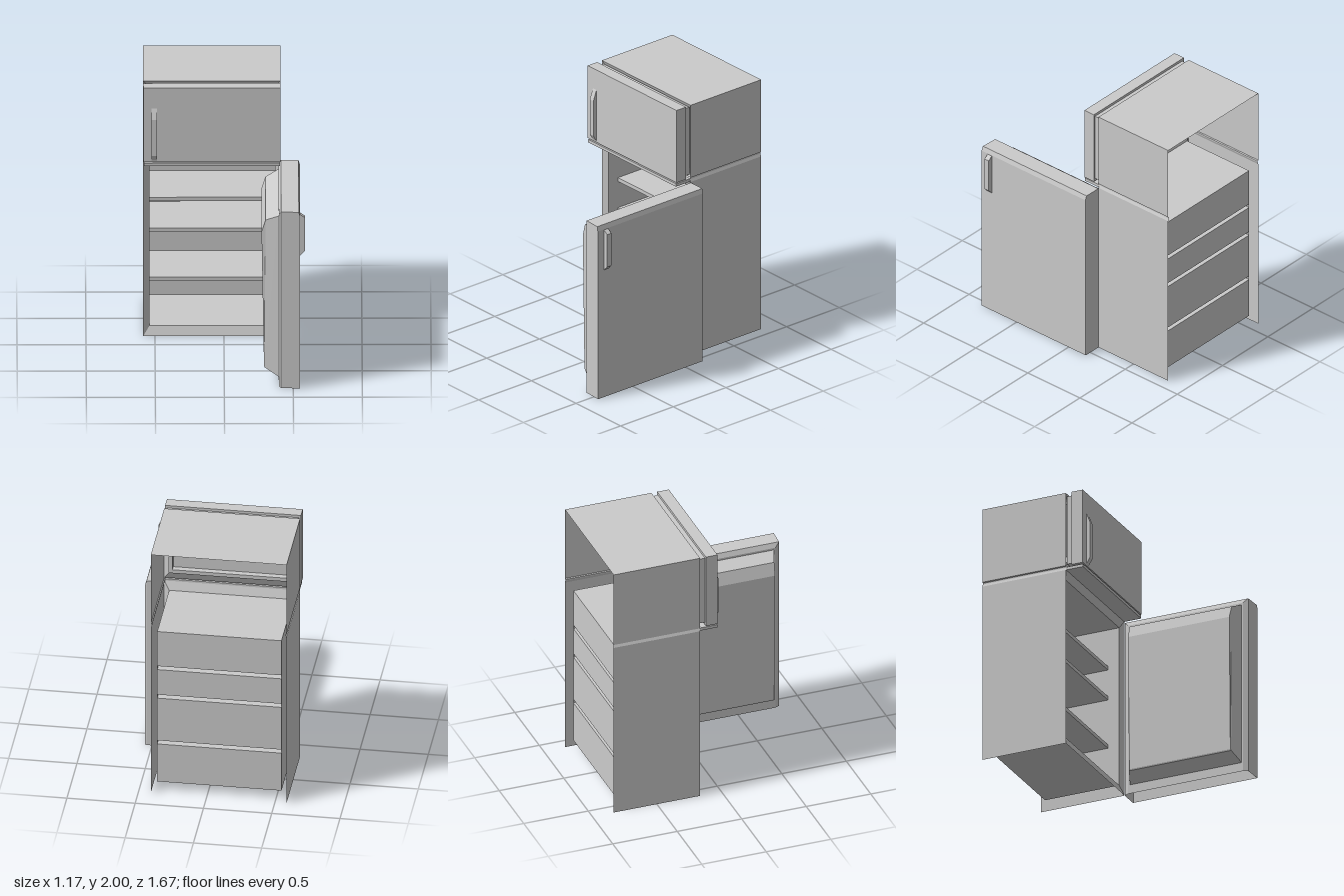
import * as THREE from 'three';

const material = new THREE.MeshStandardMaterial({ color: 0xcccccc, flatShading: true, side: THREE.DoubleSide });

// Overall body limits
const L = -0.585, R = 0.41, FRONT = -0.165, BACK = -0.835, TOP = 2, SEAM = 1.405;

// Joins consecutive rings of points with flat quads; caps apply to four-point rings
function loft(name, rings, { closed = true, skip = [], startCap = false, endCap = false } = {}) {
  const pos = [];
  const quad = (a, b, c, d) => pos.push(...a, ...b, ...c, ...a, ...c, ...d);
  for (let i = 0; i < rings.length - 1; i++) {
    const a = rings[i], b = rings[i + 1], n = a.length;
    for (let j = 0; j < (closed ? n : n - 1); j++) {
      if (skip.includes(j)) continue;
      const k = (j + 1) % n;
      quad(a[j], a[k], b[k], b[j]);
    }
  }
  if (startCap) quad(...[...rings[0]].reverse());
  if (endCap) quad(...rings[rings.length - 1]);
  const g = new THREE.BufferGeometry();
  g.setAttribute('position', new THREE.Float32BufferAttribute(pos, 3));
  g.computeVertexNormals();
  const mesh = new THREE.Mesh(g, material);
  mesh.name = name;
  return mesh;
}

function box(name, x0, x1, y0, y1, z0, z1) {
  const mesh = new THREE.Mesh(new THREE.BoxGeometry(x1 - x0, y1 - y0, z1 - z0), material);
  mesh.position.set((x0 + x1) / 2, (y0 + y1) / 2, (z0 + z1) / 2);
  mesh.name = name;
  return mesh;
}

// Rectangular rings facing z, y and x; the x ring may lean between its bottom and top
const ringZ = (z, x0, x1, y0, y1) => [[x0, y0, z], [x1, y0, z], [x1, y1, z], [x0, y1, z]];
const ringY = (y, x0, x1, z0, z1) => [[x0, y, z1], [x1, y, z1], [x1, y, z0], [x0, y, z0]];
const ringX = (x, y0, y1, z0, z1, xTop = x) => [[x, y0, z1], [x, y0, z0], [xTop, y1, z0], [xTop, y1, z1]];

// Handle with sloping ends: profile of [height, reach], extruded to its width
function handle(name, y0, y1, slopeLow, slopeHigh, reach, width) {
  const s = new THREE.Shape();
  s.moveTo(0, y0);
  s.lineTo(reach, y0 + slopeLow);
  s.lineTo(reach, y1 - slopeHigh);
  s.lineTo(0, y1);
  s.closePath();
  const g = new THREE.ExtrudeGeometry(s, { depth: width, bevelEnabled: false });
  g.translate(0, 0, -width / 2);
  const mesh = new THREE.Mesh(g, material);
  mesh.name = name;
  return mesh;
}

function createCabinet() {
  const g = new THREE.Group();
  g.name = 'cabinet';

  // Side walls with a shallow groove at the seam, open at back and bottom
  const profile = [[0, 0], [1.385, 0], [SEAM, 0.008], [1.415, 0.008], [1.42, 0], [TOP, 0]];
  g.add(loft('sideWalls', profile.map(([y, inset]) => ringY(y, L + inset, R - inset, BACK, FRONT)), { skip: [0, 2] }));
  g.add(loft('topPanel', [
    [[L, TOP, FRONT], [R, TOP, FRONT]],
    [[L, TOP, BACK], [R, TOP, BACK]],
  ], { closed: false }));

  // Fridge compartment: bevelled rim and straight walls
  const x0 = -0.54, x1 = 0.37, y0 = 0.07, y1 = 1.33, back = -0.785;
  g.add(loft('fridgeLiner', [
    ringZ(FRONT, L, R, 0, 1.395),
    ringZ(FRONT - 0.025, x0, x1, y0, y1),
    ringZ(back, x0, x1, y0, y1),
  ]));
  // Toe strip behind the bevelled rim
  g.add(loft('toeStrip', [
    [[L, 0, FRONT], [R, 0, FRONT]],
    [[L, y0, FRONT - 0.025], [R, y0, FRONT - 0.025]],
  ], { closed: false }));

  // Rear wall folded forward into shelves, hollow from behind
  const fold = [[y0, back]];
  for (const y of [0.385, 0.77, 1.01]) {
    fold.push([y, back], [y, -0.28], [y + 0.03, -0.28], [y + 0.03, back]);
  }
  fold.push([y1, back]);
  g.add(loft('rearWallAndShelves', [x0, x1].map(x => fold.map(([y, z]) => [x, y, z])), { closed: false }));

  // Freezer opening and the ledge that divides the compartments
  g.add(loft('freezerRim', [
    ringZ(FRONT, L, R, 1.42, TOP),
    ringZ(FRONT - 0.025, x0, x1, 1.48, 1.94),
  ]));
  g.add(box('dividerLedge', L + 0.005, R - 0.005, 1.387, 1.41, FRONT, -0.03));
  return g;
}

function createFreezerDoor() {
  const g = new THREE.Group();
  g.name = 'freezerDoor';
  g.add(box('freezerDoorPanel', L, R, 1.42, TOP, -0.12, -0.03));

  // Seal as an open frame between door and cabinet
  g.add(loft('freezerSeal', [
    ringZ(-0.12, L + 0.02, R - 0.015, 1.44, 1.98),
    ringZ(FRONT, L + 0.02, R - 0.015, 1.44, 1.98),
    ringZ(FRONT, x(L), x(R), 1.49, 1.93),
    ringZ(-0.12, x(L), x(R), 1.49, 1.93),
  ]));

  const h = handle('freezerHandle', 1.43, 1.84, 0.05, 0.08, 0.03, 0.04);
  h.rotation.y = -Math.PI / 2;
  h.position.set(-0.505, 0, -0.03);
  g.add(h);
  return g;
}
// Moves a side limit inward by the seal width
const x = side => side - Math.sign(side) * 0.06;

function createFridgeDoor() {
  const g = new THREE.Group();
  g.name = 'fridgeDoor';

  // Outer slab with chamfered edges, standing open at a right angle, open below
  g.add(loft('fridgeDoorPanel', [
    ringX(0.395, 0, 1.345, -0.13, 0.79),
    ringX(0.412, 0, 1.38, FRONT, 0.825),
    ringX(0.54, 0, 1.38, FRONT, 0.832),
    ringX(0.55, 0, 1.345, FRONT + 0.005, 0.835),
  ], { skip: [0], endCap: true }));

  // Raised inner liner, leaning slightly toward the top
  g.add(loft('fridgeDoorLiner', [
    ringX(0.395, 0, 1.345, -0.13, 0.79),
    ringX(0.395, 0.07, 1.33, -0.115, 0.78),
    ringX(0.292, 0.13, 1.285, -0.075, 0.745, 0.30),
    ringX(0.288, 0.14, 1.19, -0.07, 0.74, 0.27),
  ], { endCap: true }));

  const h = handle('fridgeHandle', 1.02, 1.34, 0.035, 0.025, 0.035, 0.04);
  h.position.set(0.55, 0, 0.757);
  g.add(h);
  return g;
}

export function createModel() {
  const model = new THREE.Group();
  model.name = 'refrigerator';
  model.add(createCabinet(), createFreezerDoor(), createFridgeDoor());
  return model;
}
